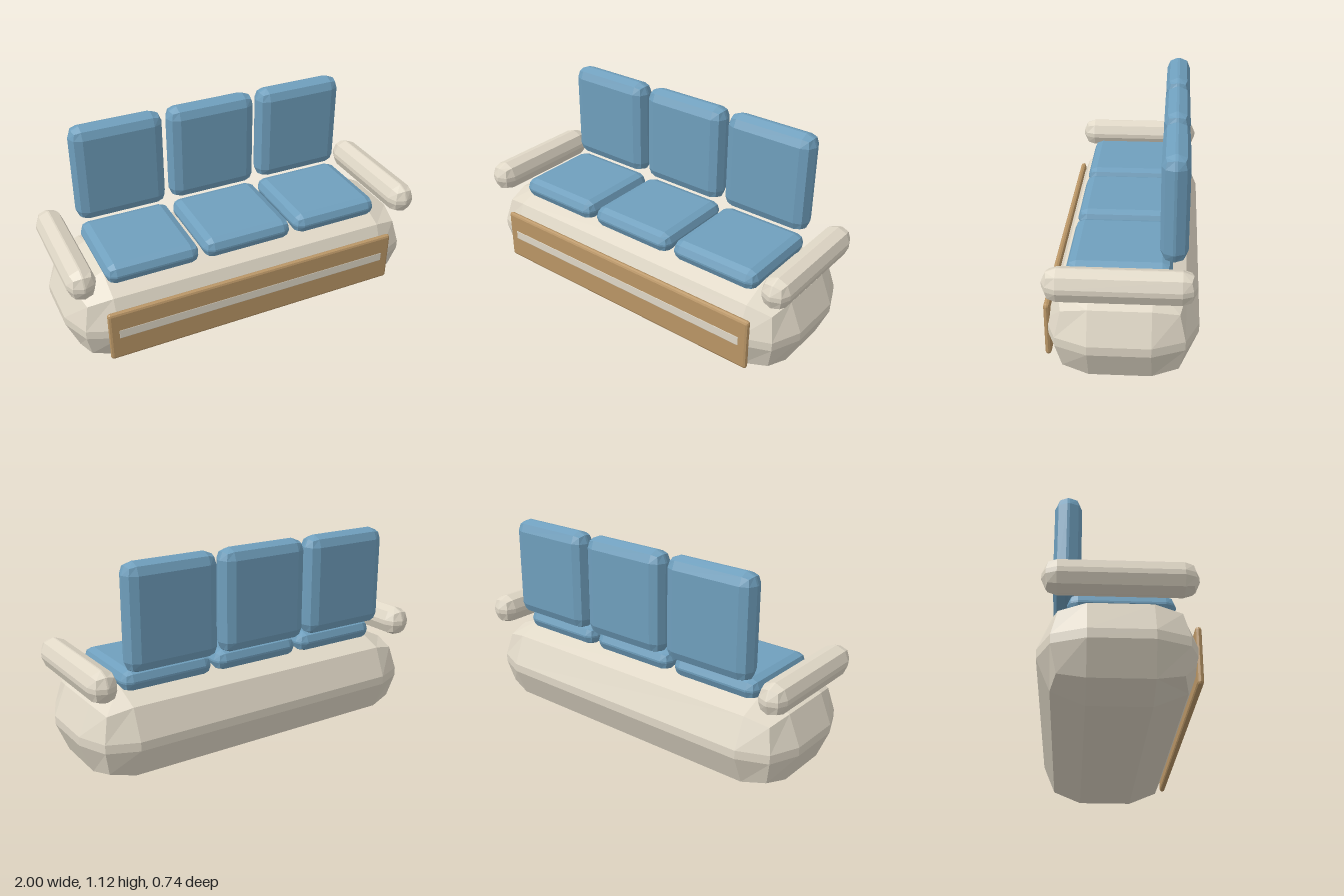
import * as THREE from 'three';
import { RoundedBoxGeometry } from 'three/addons/geometries/RoundedBoxGeometry.js';

const material = (color) => new THREE.MeshStandardMaterial({ color, flatShading: true });

export function createModel() {
  const sofa = new THREE.Group();
  sofa.name = 'sofa';

  const cream = material(0xe0d8c7);
  const blue = material(0x6f9fbd);
  const wood = material(0xba9666);

  // Low-poly padded block: one bevel step per quarter turn
  function pad(name, [w, h, d], radius, [x, y, z], mat) {
    const mesh = new THREE.Mesh(new RoundedBoxGeometry(w, h, d, 1, radius), mat);
    mesh.name = name;
    mesh.position.set(x, y, z);
    sofa.add(mesh);
  }

  // Body, with its flat front just showing through the wooden panel as a stripe
  pad('base', [2, 0.49, 0.743], 0.222, [0, 0.245, 0], cream);
  pad('frontPanel', [1.664, 0.286, 0.03], 0.014, [0, 0.234, 0.3555], wood);

  // Armrests
  for (const [side, name] of [[1, 'leftArm'], [-1, 'rightArm']]) {
    pad(name, [0.148, 0.165, 0.71], 0.07, [side * 0.925, 0.557, 0], cream);
  }

  // Three seat cushions and three back cushions
  ['right', 'middle', 'left'].forEach((place, i) => {
    const x = (i - 1) * 0.533;
    pad(place + 'SeatCushion', [0.506, 0.11, 0.508], 0.05, [x, 0.517, 0.015], blue);
    pad(place + 'BackCushion', [0.506, 0.544, 0.133], 0.06, [x, 0.849, -0.243], blue);
  });

  return sofa;
}
